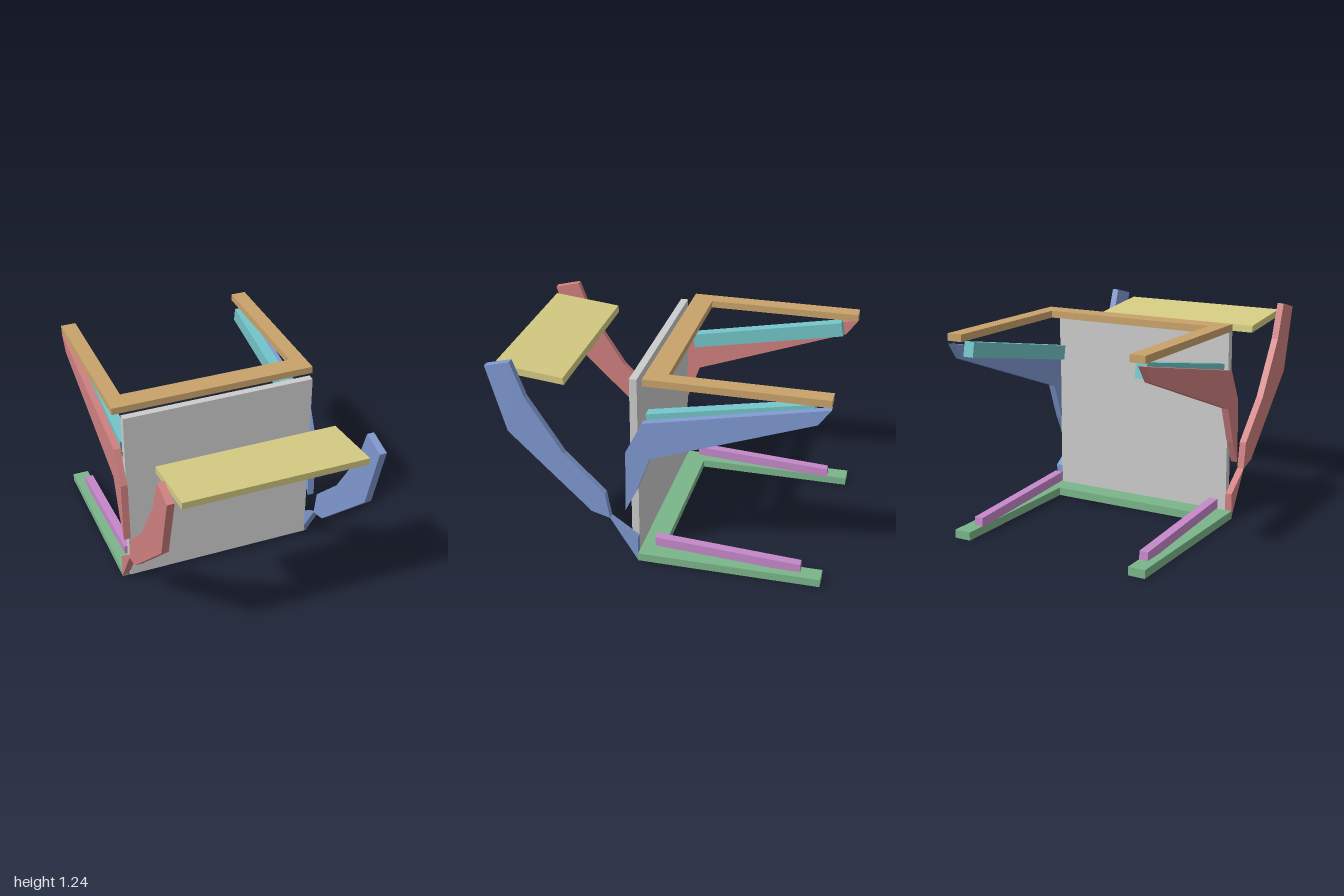
import * as THREE from 'three';

// Prism from a side profile of [z, y] points, spanning x0..x1
function sidePrism(points, x0, x1) {
  const shape = new THREE.Shape(points.map(([z, y]) => new THREE.Vector2(-z, y)));
  const geo = new THREE.ExtrudeGeometry(shape, { depth: x1 - x0, bevelEnabled: false });
  return geo.rotateY(Math.PI / 2).translate(x0, 0, 0);
}

// Flat U-shaped frame, open towards the back
function uFrame(outerX, innerX, frontZ, innerZ, y0, y1) {
  const points = [
    [-outerX, frontZ], [outerX, frontZ], [outerX, -1], [innerX, -1],
    [innerX, innerZ], [-innerX, innerZ], [-innerX, -1], [-outerX, -1],
  ];
  const shape = new THREE.Shape(points.map(([x, z]) => new THREE.Vector2(x, -z)));
  const geo = new THREE.ExtrudeGeometry(shape, { depth: y1 - y0, bevelEnabled: false });
  return geo.rotateX(-Math.PI / 2).translate(0, y0, 0);
}

export function createModel() {
  const model = new THREE.Group();
  model.name = 'model';
  const add = (name, geo, color) => {
    const mesh = new THREE.Mesh(geo, new THREE.MeshStandardMaterial({ color, flatShading: true }));
    mesh.name = name;
    model.add(mesh);
  };

  // Upright panel
  add('panel', new THREE.BoxGeometry(1.2, 1.165, 0.045).translate(0, 0.6175, 0.125), 0xcccccc);

  // Upper and lower U frames
  add('topFrame', uFrame(0.64, 0.545, 0.06, -0.07, 1.185, 1.228), 0xc9a36a);
  add('baseFrame', uFrame(0.64, 0.535, 0.105, -0.03, 0, 0.05), 0x7ab58a);

  // Tilted front shelf
  add('shelf', sidePrism([[0.98, 1.175], [0.56, 1.13], [0.555, 1.087], [0.975, 1.13]], -0.55, 0.55), 0xd4cb82);

  // Side profiles of the brackets
  const frontArm = [
    [1, 1.2], [0.845, 1.24], [0.765, 1.02], [0.545, 0.68],
    [0.3, 0.44], [0.272, 0.278], [0.385, 0.31], [0.885, 0.79],
  ];
  const foot = [[0.272, 0.278], [0.102, 0.16], [0.102, 0.002]];
  const rearArm = [
    [0.175, 0.347], [0.167, 0.745], [0.067, 0.945], [-1, 1.17],
    [-0.93, 1.07], [0.022, 0.72], [0.105, 0.49],
  ];
  // Rails that lie along the rear arm and the base
  const upperRail = [[0.055, 0.985], [-0.9, 1.17], [-0.917, 1.082], [0.038, 0.897]];
  const lowerRail = [[0.007, 0.15], [-0.873, 0.1], [-0.876, 0.042], [0.004, 0.092]];

  for (const [side, sign, color] of [['left', 1, 0x7f98cf], ['right', -1, 0xcf7f7f]]) {
    const addSide = (part, points, inner, outer, c) => {
      const [x0, x1] = sign > 0 ? [inner, outer] : [-outer, -inner];
      add(side + part, sidePrism(points, x0, x1), c);
    };
    addSide('FrontArm', frontArm, 0.597, 0.64, color);
    addSide('Foot', foot, 0.597, 0.64, color);
    addSide('RearArm', rearArm, 0.597, 0.64, color);
    addSide('UpperRail', upperRail, 0.53, 0.597, 0x72c3c7);
    addSide('LowerRail', lowerRail, 0.535, 0.59, 0xc588c9);
  }
  return model;
}
